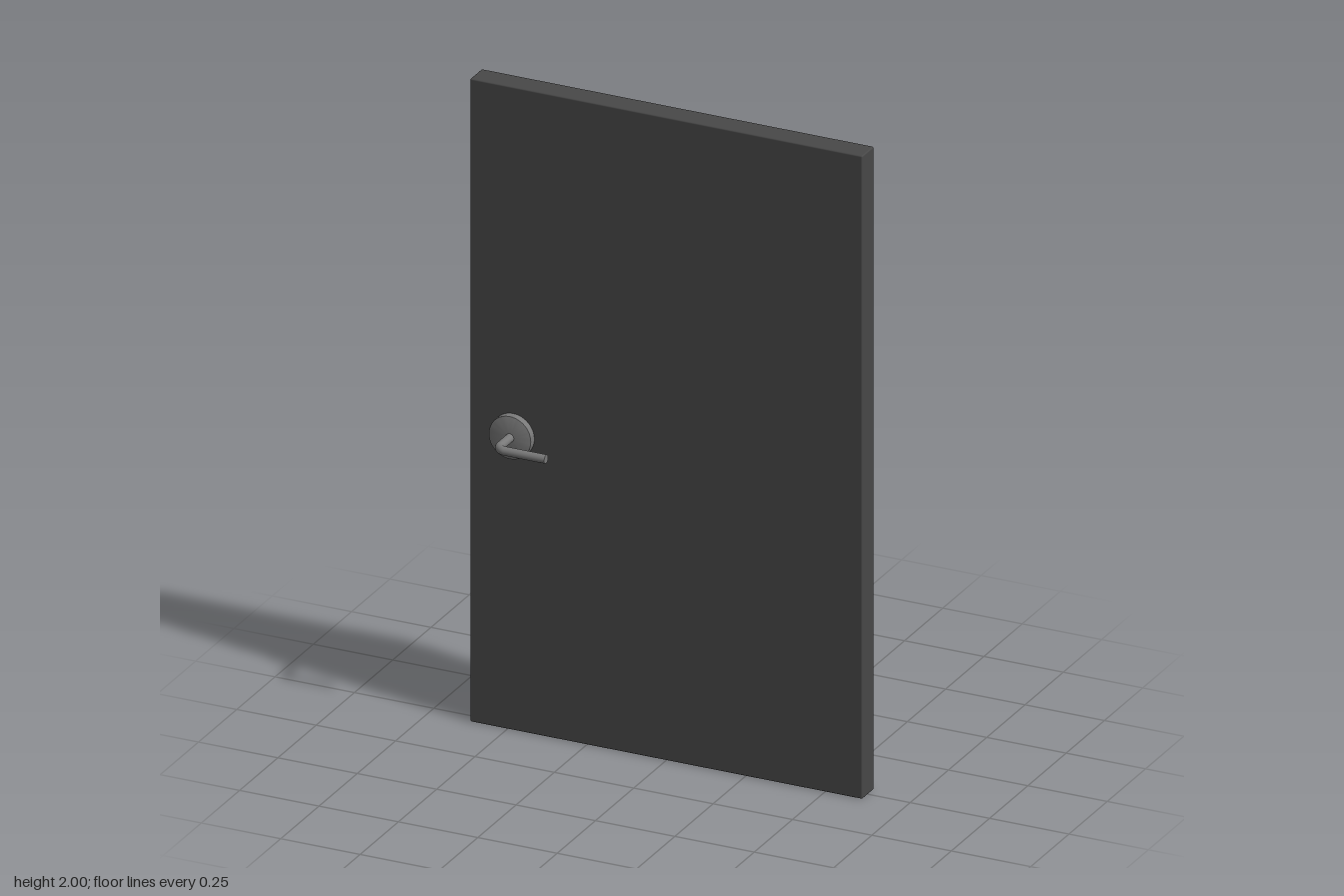
import * as THREE from 'three';
import { RoundedBoxGeometry } from 'three/addons/geometries/RoundedBoxGeometry.js';
import { toCreasedNormals } from 'three/addons/utils/BufferGeometryUtils.js';

const HANDLE_X = -0.482, HANDLE_Y = 0.918;
const HALF_DEPTH = 0.038, TUBE_R = 0.0132, REACH = 0.148, LEVER = 0.157, BEND = 0.026;

export function createModel() {
  const doorGrey = new THREE.MeshStandardMaterial({ color: 0x484848 });
  doorGrey.name = 'dark grey panel';
  const metal = new THREE.MeshStandardMaterial({ color: 0x797979 });
  metal.name = 'grey metal';

  const model = new THREE.Group();
  model.name = 'door';
  const add = (parent, name, geometry, material) => {
    const mesh = new THREE.Mesh(geometry, material);
    mesh.name = name;
    parent.add(mesh);
    return mesh;
  };

  // Slab with slightly eased edges
  add(model, 'doorPanel', new RoundedBoxGeometry(1.235, 2, HALF_DEPTH * 2, 2, 0.004), doorGrey)
    .position.y = 1;

  // Round backplate with a softened rim, axis turned towards +z
  const profile = [[0, 0], [0.067, 0], [0.067, 0.019], [0.066, 0.0215], [0.0635, 0.0225], [0, 0.0225]]
    .map(([r, h]) => new THREE.Vector2(r, h));
  const plate = toCreasedNormals(new THREE.LatheGeometry(profile, 48), 0.6);
  plate.rotateX(Math.PI / 2).translate(0, 0, HALF_DEPTH);

  // Lever: out from the door, round the bend, then along +x
  const v = (x, z) => new THREE.Vector3(x, 0, z);
  const path = new THREE.CurvePath();
  path.add(new THREE.LineCurve3(v(0, HALF_DEPTH), v(0, REACH - BEND)));
  path.add(new THREE.CubicBezierCurve3(
    v(0, REACH - BEND), v(0, REACH - BEND * 0.45), v(BEND * 0.55, REACH), v(BEND, REACH)));
  path.add(new THREE.LineCurve3(v(BEND, REACH), v(LEVER, REACH)));
  const lever = new THREE.TubeGeometry(path, 64, TUBE_R, 20);
  const leverEnd = new THREE.CircleGeometry(TUBE_R, 20);
  leverEnd.rotateY(Math.PI / 2).translate(LEVER, 0, REACH);

  // One handle on each face; the back one is turned over about the x axis
  for (const [name, turn] of [['frontHandle', 0], ['backHandle', Math.PI]]) {
    const handle = new THREE.Group();
    handle.name = name;
    handle.position.set(HANDLE_X, HANDLE_Y, 0);
    handle.rotation.x = turn;
    add(handle, 'backplate', plate, metal);
    add(handle, 'lever', lever, metal);
    add(handle, 'leverEnd', leverEnd, metal);
    model.add(handle);
  }
  return model;
}
